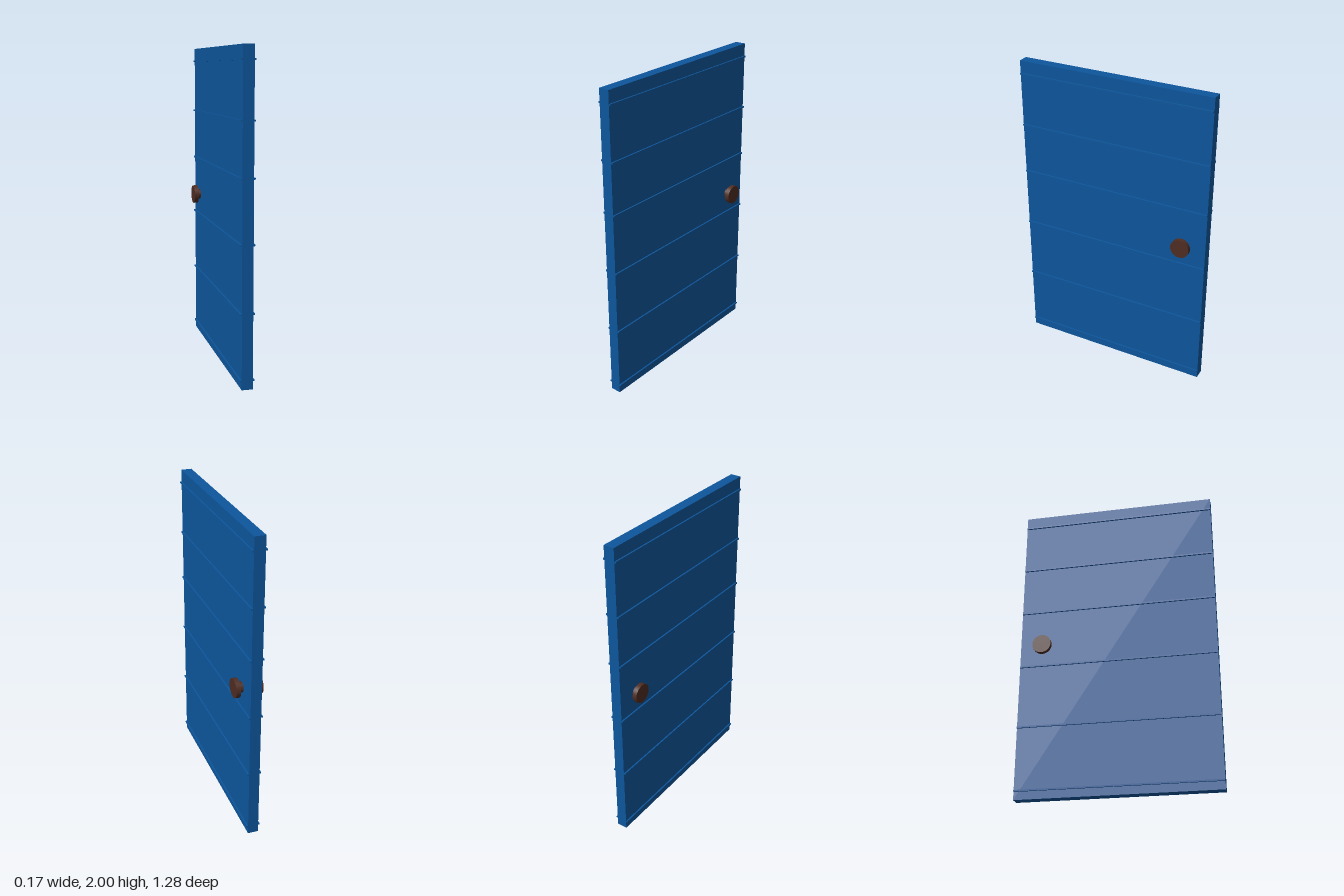
import * as THREE from 'three';

export function createModel() {
  const door = new THREE.Group();
  door.name = 'door';
  const blue = new THREE.MeshStandardMaterial({ color: 0x0d569c });
  blue.name = 'blue paint';
  const brown = new THREE.MeshStandardMaterial({ color: 0x4f2d23 });
  brown.name = 'brown knob';

  const add = (parent, name, geometry, material, x, y, z) => {
    const mesh = new THREE.Mesh(geometry, material);
    mesh.name = name;
    mesh.position.set(x, y, z);
    parent.add(mesh);
    return mesh;
  };

  // Slab
  const slabX = -0.003;
  add(door, 'slab', new THREE.BoxGeometry(0.068, 2, 1.276), blue, slabX, 1, 0);

  // Thin raised battens wrapping both faces
  const batten = new THREE.BoxGeometry(0.088, 0.01, 1.274);
  for (const y of [0.055, 0.458, 0.866, 1.25, 1.577, 1.917]) {
    add(door, 'batten', batten, blue, slabX, y, 0);
  }

  // A knob on each face: stem and flat disc
  const stem = new THREE.CylinderGeometry(0.034, 0.034, 0.035, 32).rotateZ(Math.PI / 2);
  const disc = new THREE.CylinderGeometry(0.061, 0.061, 0.028, 32).rotateZ(Math.PI / 2);
  for (const side of [-1, 1]) {
    const knob = new THREE.Group();
    knob.name = side > 0 ? 'leftKnob' : 'rightKnob';
    knob.position.set(0, 1.003, -0.488);
    add(knob, 'stem', stem, brown, side * 0.043, 0, 0);
    add(knob, 'disc', disc, brown, side * 0.071, 0, 0);
    door.add(knob);
  }
  return door;
}
